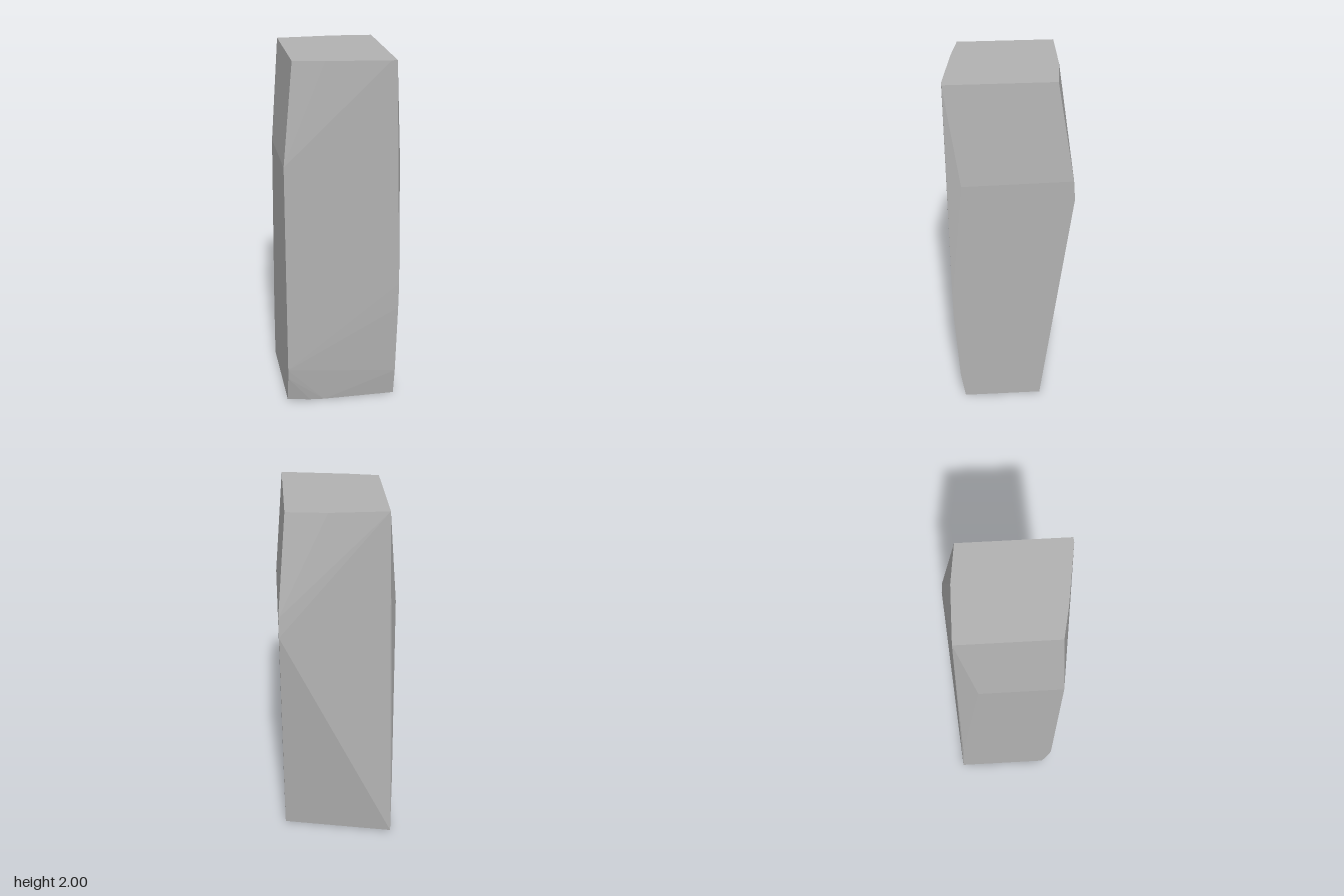
import * as THREE from 'three';
import { ConvexGeometry } from 'three/addons/geometries/ConvexGeometry.js';

// Corner rings of the chiselled stone block, as [x, y, z]
const S = 0.308; // half width at the vertical sides
const top = [
  [-0.252, 2, -0.26], [0.05, 2, -0.257], [0.259, 2, -0.232],
  [0.259, 2, 0.327], [0.23, 2, 0.328], [-0.09, 2, 0.278], [-0.252, 2, 0.244],
];
const shoulder = [
  [S, 1.47, -0.322], [S, 1.36, -0.331], [S, 1.46, 0.25],
  [-S, 1.46, 0.272], [-S, 1.46, -0.16],
];
const lower = [
  [S, 0.75, 0.318], [S, 0.6, 0.315], [S, 0.17, 0.289],
  [-S, 0.23, 0.262], [-S, 0.17, 0.254], [-S, 0.35, -0.285],
];
const base = [
  [S, 0, -0.175], [-S, 0, -0.301], [-S, 0, 0.213],
  [-0.18, 0, 0.24], [-0.1, 0, 0.25], [S, 0, 0.264],
];

export function createModel() {
  const group = new THREE.Group();
  group.name = 'stonePillar';

  const stone = new THREE.MeshStandardMaterial({ color: 0xb2b2b2 });
  stone.name = 'grey stone';

  // Flat facets stretched over the corner rings
  const points = [...top, ...shoulder, ...lower, ...base].map((p) => new THREE.Vector3(...p));
  const block = new THREE.Mesh(new ConvexGeometry(points), stone);
  block.name = 'stoneBlock';
  group.add(block);
  return group;
}
